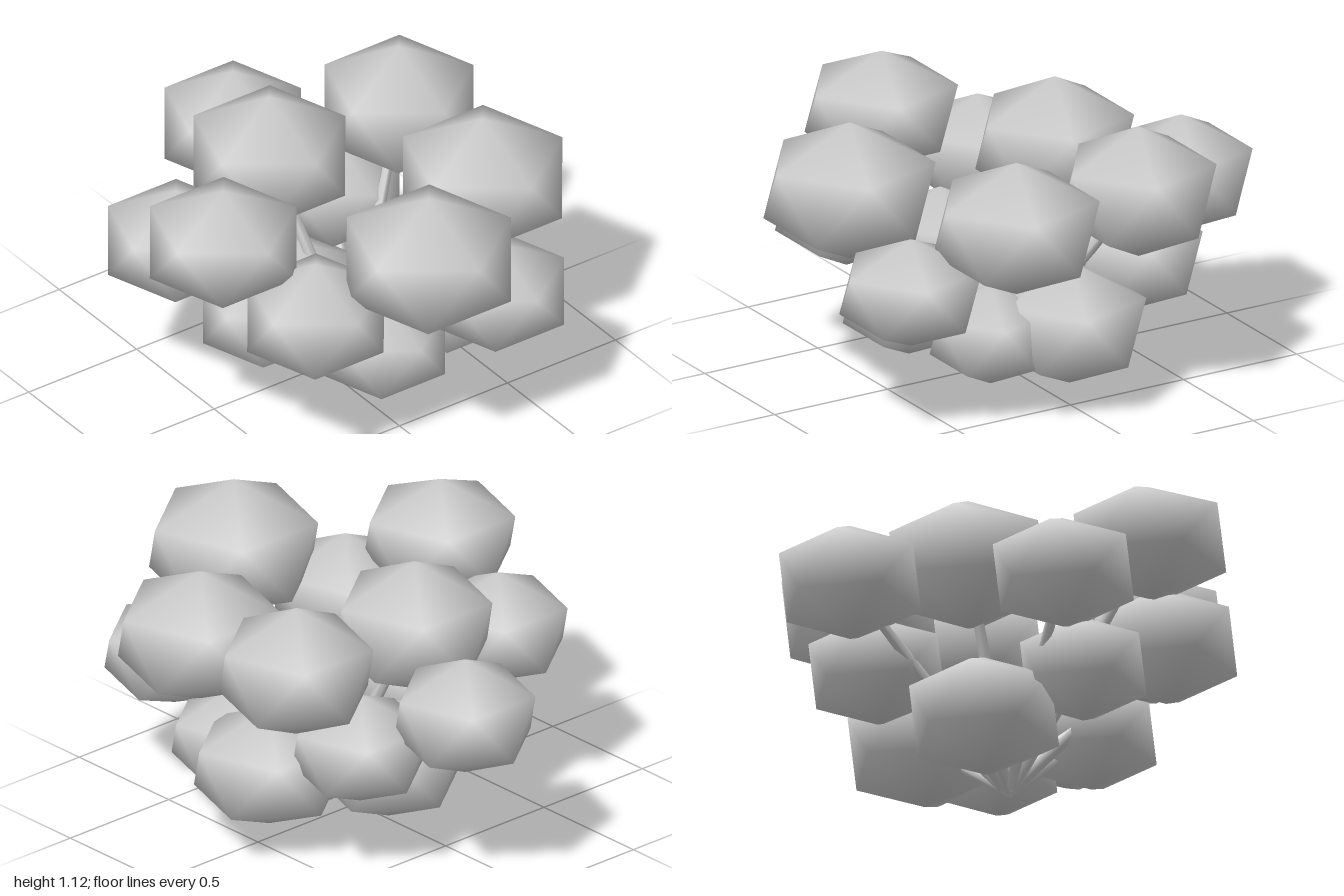
import * as THREE from 'three';

const foliage = new THREE.MeshStandardMaterial({ color: 0xcccccc });
foliage.name = 'pale grey';

// Twenty-sided ball standing on a vertex, with smooth normals
function clumpGeometry() {
  const pos = [0, 1, 0];
  const index = [];
  const ringY = 1 / Math.sqrt(5);
  const ringR = 2 / Math.sqrt(5);
  for (let level = 0; level < 2; level++) {
    for (let i = 0; i < 5; i++) {
      const a = ((i + level * 0.5) / 5) * Math.PI * 2;
      pos.push(ringR * Math.cos(a), level ? -ringY : ringY, ringR * Math.sin(a));
    }
  }
  pos.push(0, -1, 0);
  for (let i = 0; i < 5; i++) {
    const j = (i + 1) % 5;
    const u0 = 1 + i, u1 = 1 + j, l0 = 6 + i, l1 = 6 + j;
    index.push(0, u1, u0, u0, u1, l0, u1, l1, l0, 11, l0, l1);
  }
  const g = new THREE.BufferGeometry();
  g.setAttribute('position', new THREE.Float32BufferAttribute(pos, 3));
  g.setIndex(index);
  return g;
}

// Tapered stem between two points
function stem(from, to) {
  const dir = to.clone().sub(from);
  const mesh = new THREE.Mesh(new THREE.CylinderGeometry(0.016, 0.034, dir.length(), 6), foliage);
  mesh.position.copy(from).addScaledVector(dir, 0.5);
  mesh.quaternion.setFromUnitVectors(new THREE.Vector3(0, 1, 0), dir.normalize());
  mesh.name = 'stem';
  return mesh;
}

// Leaf clumps: centre x, y, z, widest radius, half height
const clumps = [
  // lower tier
  [-0.16, 0.248, 0.02, 0.285, 0.243],
  [0.40, 0.335, 0.01, 0.25, 0.21],
  [0.07, 0.415, 0.32, 0.24, 0.215],
  [0.28, 0.31, -0.38, 0.23, 0.2],
  [-0.02, 0.32, -0.46, 0.29, 0.242],
  [-0.385, 0.48, -0.33, 0.26, 0.22],
  // middle tier
  [0.62, 0.54, -0.36, 0.27, 0.215],
  [0.46, 0.617, 0.36, 0.27, 0.237],
  [-0.22, 0.655, 0.52, 0.268, 0.225],
  [-0.73, 0.665, -0.11, 0.27, 0.235],
  // upper tier
  [0.27, 0.79, -0.55, 0.315, 0.265],
  [-0.27, 0.83, -0.55, 0.295, 0.262],
  [-0.27, 0.83, 0.05, 0.3, 0.265],
  [0.17, 0.88, 0.58, 0.29, 0.232],
  [0.675, 0.848, -0.01, 0.325, 0.274],
];

export function createModel() {
  const model = new THREE.Group();
  model.name = 'bush';
  const base = new THREE.Vector3(0.07, 0.055, -0.09);

  clumps.forEach(([x, y, z, r, h]) => {
    const g = clumpGeometry();
    const s = r / (2 / Math.sqrt(5));
    g.scale(s, h, s);
    g.computeVertexNormals();
    const ball = new THREE.Mesh(g, foliage);
    ball.position.set(x, y, z);
    ball.name = 'leafClump';
    model.add(ball, stem(base, ball.position));
  });
  return model;
}
